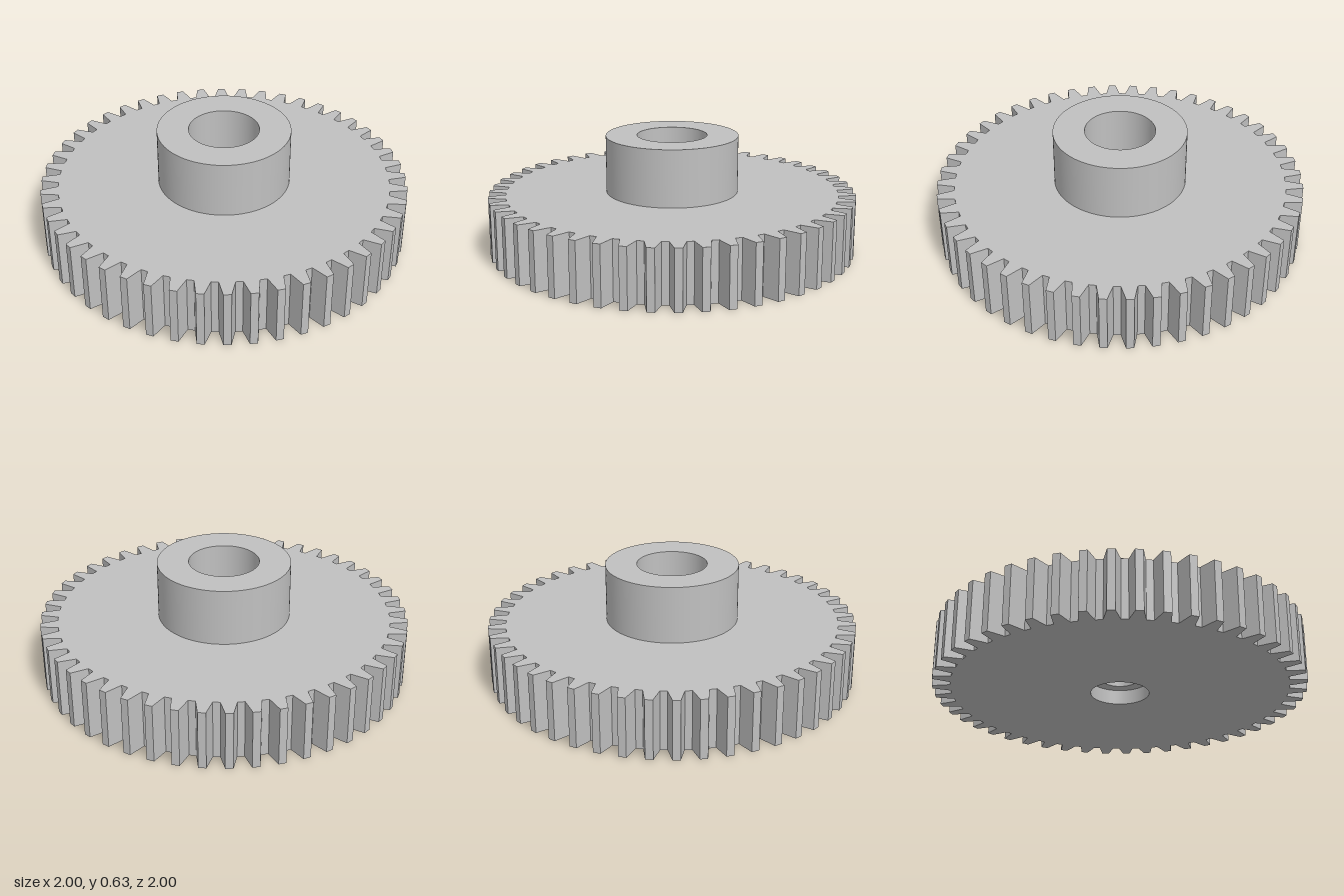
import * as THREE from 'three';
import { mergeGeometries } from 'three/addons/utils/BufferGeometryUtils.js';

const TEETH = 48, SEGMENTS = 96;
const ROOT = 0.905, TIP = 1, GEAR_TOP = 0.32, HUB_TOP = 0.63, HUB_R = 0.36;

// Toothed outline with straight-sided teeth, one centred on each axis
function gearOutline() {
  const points = [];
  for (let i = 0; i < TEETH; i++) {
    const a = (i / TEETH) * Math.PI * 2;
    for (const [r, w] of [[ROOT, -0.041], [TIP, -0.02], [TIP, 0.02], [ROOT, 0.041]]) {
      points.push(new THREE.Vector2(r * Math.cos(a) - w * Math.sin(a), r * Math.sin(a) + w * Math.cos(a)));
    }
  }
  return points;
}

function circle(radius) {
  return Array.from({ length: SEGMENTS }, (_, i) => {
    const a = (i / SEGMENTS) * Math.PI * 2;
    return new THREE.Vector2(radius * Math.cos(a), radius * Math.sin(a));
  });
}

// Gear disc, open in the middle where the hub core fills it
function gearGeometry() {
  const shape = new THREE.Shape(gearOutline());
  shape.holes.push(new THREE.Path(circle(HUB_R)));
  const geometry = new THREE.ExtrudeGeometry(shape, { depth: GEAR_TOP, bevelEnabled: false });
  geometry.rotateX(-Math.PI / 2);

  // Drop the buried wall between disc and core
  const p = geometry.attributes.position, kept = [];
  for (let i = 0; i < p.count; i += 3) {
    const outer = [0, 1, 2].some((k) => Math.hypot(p.getX(i + k), p.getZ(i + k)) > HUB_R + 0.1);
    if (outer) kept.push(i, i + 1, i + 2);
  }
  geometry.setIndex(kept);
  geometry.clearGroups();
  return geometry;
}

// Each profile step is its own lathe band, so walls are smooth and rims sharp
function hubGeometry() {
  const profile = [
    [HUB_R, GEAR_TOP], [HUB_R, HUB_TOP],  // outer wall
    [0.19, HUB_TOP], [0.19, GEAR_TOP],    // wide upper bore
    [0.095, GEAR_TOP], [0.095, 0.08],     // narrow through hole
    [0.157, 0.08], [0.157, 0],            // recess underneath
    [HUB_R, 0],
  ].map(([r, y]) => new THREE.Vector2(r, y));
  const bands = [];
  for (let i = 0; i < profile.length - 1; i++) {
    bands.push(new THREE.LatheGeometry([profile[i], profile[i + 1]], SEGMENTS));
  }
  return mergeGeometries(bands);
}

export function createModel() {
  const group = new THREE.Group();
  group.name = 'spurGear';
  const grey = new THREE.MeshStandardMaterial({ color: 0xc0c0c0 });
  grey.name = 'light grey';

  const disc = new THREE.Mesh(gearGeometry(), grey);
  disc.name = 'toothedDisc';
  const hub = new THREE.Mesh(hubGeometry(), grey);
  hub.name = 'hub';
  group.add(disc, hub);
  return group;
}
